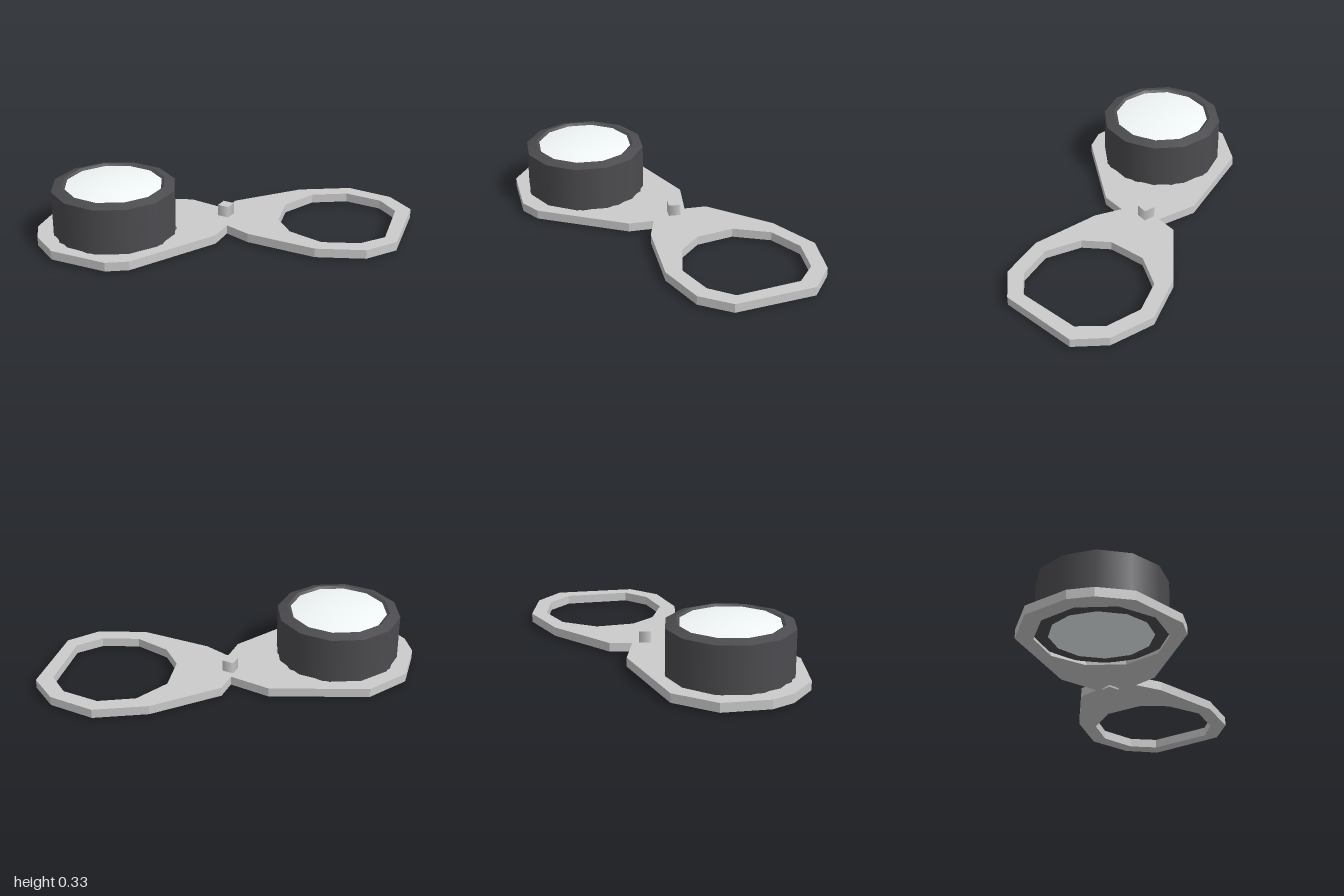
import * as THREE from 'three';

const grey = new THREE.MeshStandardMaterial({ color: 0xcccccc });
const dark = new THREE.MeshStandardMaterial({ color: 0x4c4c50 });
const glass = new THREE.MeshStandardMaterial({ color: 0xf2f8f7 });

// Plan points are [x, z]; the extrusion is laid flat afterwards
const plan = (pts) => pts.map(([x, z]) => new THREE.Vector2(x, -z));

function add(parent, name, geometry, material) {
  const mesh = new THREE.Mesh(geometry, material);
  mesh.name = name;
  parent.add(mesh);
  return mesh;
}

const lathe = (pts) => new THREE.LatheGeometry(pts.map(([r, y]) => new THREE.Vector2(r, y)), 12);

export function createModel() {
  const group = new THREE.Group();
  group.name = 'foldingMagnifier';
  const lensX = -0.59, lensZ = -0.107;

  // Two-lobed flat plate: lens holder on one side, open ring on the other
  const shape = new THREE.Shape(plan([
    [-0.6, -0.52], [-0.84, -0.44], [-0.98, -0.235], [-1, -0.107], [-0.955, 0.075],
    [-0.72, 0.28], [-0.6, 0.3], [-0.11, 0.13], [-0.02, 0.03], [0.055, 0.16],
    [0.33, 0.42], [0.575, 0.51], [0.76, 0.465], [1, 0.11], [0.96, -0.075],
    [0.79, -0.257], [0.51, -0.315], [0.115, -0.267], [0.035, -0.18], [-0.11, -0.35],
  ]));
  shape.holes.push(new THREE.Path(plan([
    [0.553, -0.225], [0.745, -0.187], [0.885, -0.043], [0.91, 0.107], [0.725, 0.395],
    [0.575, 0.425], [0.388, 0.358], [0.275, 0.193], [0.265, 0.037], [0.366, -0.14],
  ])));
  const seat = [];
  for (let i = 0; i < 10; i++) {
    const a = (i / 10) * Math.PI * 2;
    seat.push([lensX + 0.325 * Math.sin(a), lensZ + 0.325 * Math.cos(a)]);
  }
  shape.holes.push(new THREE.Path(plan(seat)));
  const plate = new THREE.ExtrudeGeometry(shape, { depth: 0.048, bevelEnabled: false });
  plate.rotateX(-Math.PI / 2);
  add(group, 'plate', plate, grey).position.y = 0.015;

  // Hinge pin
  add(group, 'hingePin', new THREE.CylinderGeometry(0.044, 0.044, 0.119, 4), grey)
    .position.set(0.014, 0.0645, -0.107);

  // Lens barrel: one lathe per band keeps the rim edges crisp
  const barrel = new THREE.Group();
  barrel.name = 'lensBarrel';
  barrel.position.set(lensX, 0, lensZ);
  group.add(barrel);
  const profile = [[0.255, 0.024], [0.27, 0.014], [0.325, 0.031], [0.325, 0.305], [0.27, 0.322], [0.255, 0.312]];
  const bands = ['lowerLip', 'lowerBevel', 'barrelWall', 'upperBevel', 'upperLip'];
  bands.forEach((name, i) => add(barrel, name, lathe([profile[i], profile[i + 1]]), dark));

  // Shallow domed lens faces, top and bottom
  const dome = [];
  for (let i = 0; i <= 6; i++) {
    const t = 1 - i / 6;
    dome.push([0.258 * t, 0.333 - 0.022 * t * t]);
  }
  add(barrel, 'upperLens', lathe(dome), glass);
  add(barrel, 'lowerLens', lathe(dome.map(([r, y]) => [r, 0.336 - y]).reverse()), glass);

  return group;
}
